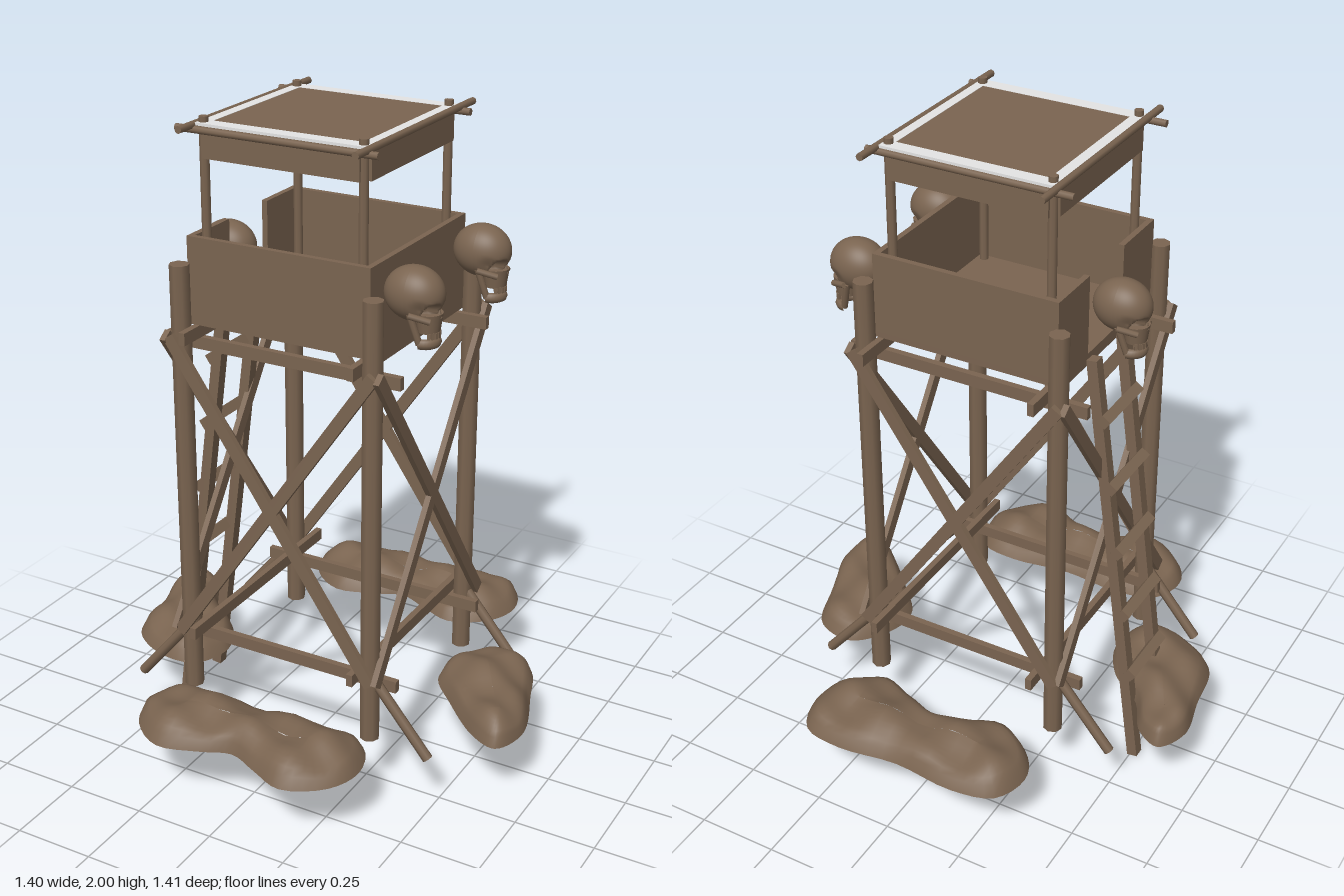
import * as THREE from 'three';

const wood = new THREE.MeshStandardMaterial({ color: 0x7a6450 });
wood.name = 'brown';
const cloth = new THREE.MeshStandardMaterial({ color: 0xe4e4e4 });
cloth.name = 'paleEdge';
const woodTwoSided = wood;

const V = (x, y, z) => new THREE.Vector3(x, y, z);

function add(parent, name, geometry, material = wood) {
  const mesh = new THREE.Mesh(geometry, material);
  mesh.name = name;
  parent.add(mesh);
  return mesh;
}

// Box given by its lower and upper corners
function block(parent, name, x0, x1, y0, y1, z0, z1, material) {
  const m = add(parent, name, new THREE.BoxGeometry(x1 - x0, y1 - y0, z1 - z0), material);
  m.position.set((x0 + x1) / 2, (y0 + y1) / 2, (z0 + z1) / 2);
  return m;
}

// Square timber between two points: w across, h upright
function timber(parent, name, a, b, w, h) {
  const m = add(parent, name, new THREE.BoxGeometry(w, h, a.distanceTo(b)));
  m.position.copy(a).lerp(b, 0.5);
  m.lookAt(b);
  return m;
}

// Round pole between two points
function pole(parent, name, a, b, r) {
  const m = add(parent, name, new THREE.CylinderGeometry(r, r, a.distanceTo(b), 8));
  m.position.copy(a).lerp(b, 0.5);
  m.quaternion.setFromUnitVectors(V(0, 1, 0), b.clone().sub(a).normalize());
  return m;
}

// Low earth mound: outline rings that rise while shrinking onto a spine
function mound(parent, outline, s0, s1) {
  const N = 56, RINGS = 9, base = 0.21;
  const curve = new THREE.CatmullRomCurve3(outline.map(([x, z]) => V(x, 0, z)), true);
  const edge = curve.getPoints(N).slice(0, N);
  const spine = new THREE.Line3(V(s0[0], 0, s0[1]), V(s1[0], 0, s1[1]));
  const pos = [], idx = [];
  const ring = (t, height) => edge.forEach((p) => {
    const c = spine.closestPointToPoint(p, true, V(0, 0, 0));
    const q = p.clone().lerp(c, t);
    const lump = 0.009 * (Math.sin(q.x * 31 + q.z * 13) + Math.sin(q.z * 37 - q.x * 17));
    pos.push(q.x, base + height * (0.074 + lump), q.z);
  });
  const strip = (a, b, flip) => {
    for (let k = 0; k < N; k++) {
      const n = (k + 1) % N;
      const q = [a * N + k, b * N + k, a * N + n, b * N + k, b * N + n, a * N + n];
      idx.push(...(flip ? q.reverse() : q));
    }
  };
  for (let i = 0; i <= RINGS; i++) {
    const t = i / RINGS;
    ring(t, Math.sqrt(1 - (1 - t) ** 2));
    if (i) strip(i - 1, i, false);
  }
  ring(0, 0);
  ring(1, 0);
  strip(RINGS + 1, RINGS + 2, true);
  const g = new THREE.BufferGeometry();
  g.setAttribute('position', new THREE.Float32BufferAttribute(pos, 3));
  g.setIndex(idx);
  g.computeVertexNormals();
  add(parent, 'earthMound', g);
}

// Skull facing +z, origin at the middle of the cranium
function makeSkull() {
  const skull = new THREE.Group();
  skull.name = 'skull';
  const g = new THREE.SphereGeometry(1, 48, 36).scale(0.07, 0.078, 0.088);
  const p = g.attributes.position;
  for (let i = 0; i < p.count; i++) {
    const x = p.getX(i), y = p.getY(i), z = p.getZ(i);
    if (z < 0) continue;
    const eye = Math.hypot(Math.abs(x) - 0.028, y + 0.034) / 0.021;
    const temple = Math.hypot(y + 0.03, z - 0.045) / 0.03;
    if (eye < 1) p.setZ(i, z - 0.034 * (1 - eye ** 4));
    else if (temple < 1 && Math.abs(x) > 0.045) p.setX(i, x * (1 - 0.15 * (1 - temple)));
  }
  g.computeVertexNormals();
  add(skull, 'cranium', g);
  // upper jaw
  const face = add(skull, 'upperJaw', new THREE.CylinderGeometry(0.04, 0.032, 0.055, 16));
  face.position.set(0, -0.075, 0.044);
  const nose = add(skull, 'noseBone', new THREE.ConeGeometry(0.009, 0.03, 6));
  nose.position.set(0, -0.043, 0.076);
  // lower jaw, its hinges and the cheekbones
  const jaw = add(skull, 'lowerJaw', new THREE.TorusGeometry(0.034, 0.013, 8, 16, Math.PI));
  jaw.rotation.x = Math.PI / 2;
  jaw.scale.z = 1.2;
  jaw.position.set(0, -0.132, 0.033);
  for (const s of [-1, 1]) {
    pole(skull, 'jawHinge', V(s * 0.036, -0.132, 0.034), V(s * 0.052, -0.045, 0.01), 0.01);
    pole(skull, 'cheekbone', V(s * 0.038, -0.062, 0.066), V(s * 0.063, -0.045, 0.012), 0.009);
  }
  // teeth
  for (let i = 0; i < 7; i++) {
    const a = (i - 3) * 0.36;
    const tooth = add(skull, 'tooth', new THREE.BoxGeometry(0.009, 0.018, 0.008));
    tooth.position.set(Math.sin(a) * 0.031, -0.108, 0.043 + Math.cos(a) * 0.031);
    tooth.rotation.y = a;
  }
  return skull;
}

export function createModel() {
  const tower = new THREE.Group();
  tower.name = 'watchtower';
  const postX = [-0.325, 0.3], postZ = [-0.302, 0.325];

  // Main legs with splayed foot struts
  for (const x of postX) for (const z of postZ) {
    pole(tower, 'leg', V(x, 0.2, z), V(x, 1.58, z), 0.03);
    const s = Math.sign(x);
    pole(tower, 'footStrut', V(x - s * 0.01, 0.43, z), V(x + s * 0.195, 0.185, z), 0.016);
  }

  // Cross beams inside the legs, low and high
  for (const z of [-0.265, 0.285]) for (const y of [0.373, 1.338])
    timber(tower, 'crossBeam', V(-0.4, y, z), V(0.37, y, z), 0.02, 0.038);
  for (const x of [-0.285, 0.262]) for (const y of [0.414, 1.378])
    timber(tower, 'sideBeam', V(x, y, -0.39), V(x, y, 0.385), 0.02, 0.038);

  // Diagonal bracing on all four sides
  for (const [lo, hi] of [[0.4, 1.37], [1.37, 0.4]]) {
    for (const z of [-0.343, 0.36])
      timber(tower, 'brace', V(-0.345, lo, z), V(0.32, hi, z), 0.018, 0.038);
    for (const x of [-0.36, 0.336])
      timber(tower, 'brace', V(x, lo, -0.335), V(x, hi, 0.36), 0.018, 0.038);
  }

  // Lookout box with a doorway on the ladder side
  block(tower, 'floor', -0.31, 0.28, 1.397, 1.415, -0.28, 0.305);
  for (const z of [-0.28, 0.287]) block(tower, 'wall', -0.31, 0.28, 1.4, 1.66, z, z + 0.018);
  block(tower, 'wall', 0.262, 0.28, 1.4, 1.66, -0.27, 0.295);
  block(tower, 'doorwayWall', -0.31, -0.292, 1.4, 1.66, 0.11, 0.295);
  block(tower, 'doorwayWall', -0.31, -0.292, 1.4, 1.66, -0.27, -0.1);

  // Roof posts, rails and hanging boards
  for (const x of [-0.265, 0.238]) for (const z of [-0.237, 0.268])
    pole(tower, 'roofPost', V(x, 1.4, z), V(x, 2, z), 0.014);
  for (const z of [-0.262, 0.292]) pole(tower, 'roofRail', V(-0.34, 1.965, z), V(0.295, 1.965, z), 0.011);
  for (const x of [-0.288, 0.262]) pole(tower, 'roofRail', V(x, 1.977, -0.345), V(x, 1.977, 0.36), 0.011);
  for (const z of [-0.258, 0.276]) block(tower, 'roofBoard', -0.262, 0.235, 1.885, 1.98, z, z + 0.012);
  for (const x of [-0.284, 0.246]) block(tower, 'roofBoard', x, x + 0.012, 1.885, 1.98, -0.232, 0.262);

  // Roof sheet with a pale border
  block(tower, 'roofSheet', -0.247, 0.224, 1.975, 1.983, -0.222, 0.246);
  for (const [x0, x1, z0, z1] of [
    [-0.288, -0.247, -0.264, 0.29], [0.224, 0.262, -0.264, 0.29],
    [-0.247, 0.224, -0.264, -0.222], [-0.247, 0.224, 0.246, 0.29],
  ]) block(tower, 'roofBorder', x0, x1, 1.976, 1.984, z0, z1, cloth);

  // Leaning ladder
  const lean = (y) => -0.51 + 0.132 * y;
  for (const z of [-0.09, 0.095])
    timber(tower, 'ladderRail', V(lean(0.005), 0.005, z), V(lean(1.4), 1.4, z), 0.036, 0.033);
  for (let i = 0; i < 5; i++) {
    const y = 0.325 + i * 0.2215;
    const rung = block(tower, 'ladderRung', -0.016, 0.016, -0.016, 0.016, -0.11, 0.11);
    rung.position.set(lean(y) - 0.02, y, 0);
    rung.rotation.z = 0.6;
  }

  // Skulls mounted on the lookout box
  for (const [x, y, z, turn] of [[0.368, 1.58, 0.215, 1], [0.368, 1.58, -0.217, 1], [-0.365, 1.54, 0, -1]]) {
    const skull = makeSkull();
    skull.position.set(x, y, z);
    skull.rotation.y = turn * Math.PI / 2;
    tower.add(skull);
  }

  // Earth mounds around the feet
  const peanut = [[-0.37, 0.53], [-0.33, 0.42], [-0.2, 0.385], [0, 0.4], [0.19, 0.375], [0.32, 0.4], [0.37, 0.52],
    [0.33, 0.63], [0.21, 0.7], [0.1, 0.66], [0, 0.62], [-0.09, 0.655], [-0.22, 0.69], [-0.33, 0.62]];
  for (const dz of [0, -1.09])
    mound(tower, peanut.map(([x, z]) => [x, z + dz]), [-0.21, 0.53 + dz], [0.21, 0.53 + dz]);
  mound(tower, [[-0.65, -0.24], [-0.57, -0.2], [-0.505, -0.09], [-0.39, 0], [-0.33, 0.13], [-0.375, 0.245],
    [-0.5, 0.256], [-0.64, 0.17], [-0.675, 0], [-0.7, -0.15]], [-0.62, -0.13], [-0.47, 0.14]);
  mound(tower, [[0.44, -0.275], [0.57, -0.245], [0.64, -0.09], [0.7, 0.11], [0.66, 0.215], [0.58, 0.19],
    [0.435, 0.057], [0.34, -0.057], [0.35, -0.17]], [0.46, -0.14], [0.63, 0.12]);

  return tower;
}
